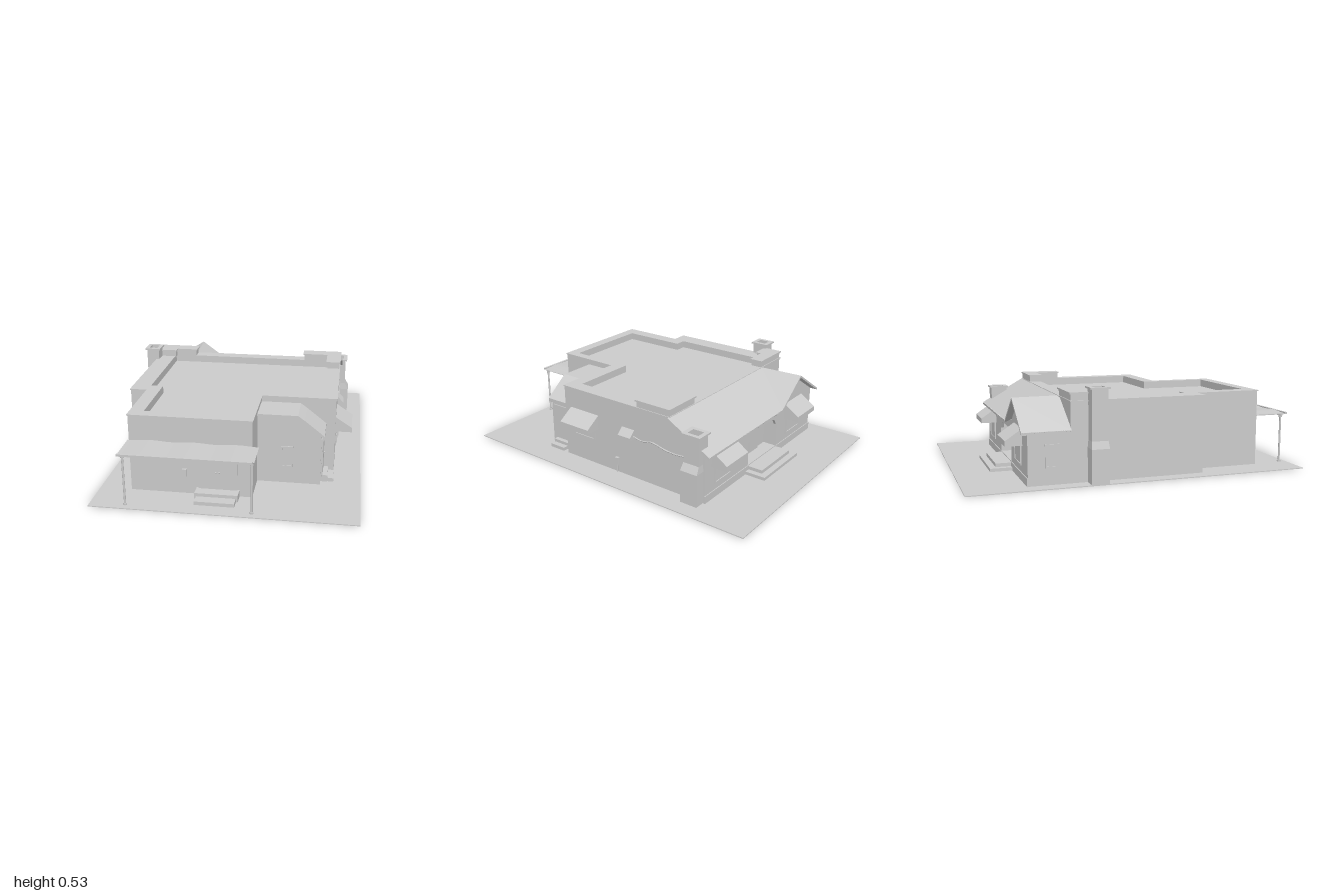
import * as THREE from 'three';
import { ConvexGeometry } from 'three/addons/geometries/ConvexGeometry.js';

const grey = new THREE.MeshStandardMaterial({ color: 0xcccccc, flatShading: true, side: THREE.DoubleSide });
const FLOOR = 0.05;

export function createModel() {
  const model = new THREE.Group();

  const add = (name, geo) => {
    const m = new THREE.Mesh(geo, grey);
    m.name = name;
    model.add(m);
    return m;
  };
  // Box given by its limits on each axis
  const box = (name, x0, x1, y0, y1, z0, z1) =>
    add(name, new THREE.BoxGeometry(x1 - x0, y1 - y0, z1 - z0).translate((x0 + x1) / 2, (y0 + y1) / 2, (z0 + z1) / 2));
  const hull = (name, pts) => add(name, new ConvexGeometry(pts.map(p => new THREE.Vector3(...p))));
  // Sloping slab: top corners plus the same corners lowered
  const slab = (name, pts, t = 0.014) => hull(name, [...pts, ...pts.map(([x, y, z]) => [x, y - t, z])]);
  const toShape = pts => new THREE.Shape(pts.map(([x, y]) => new THREE.Vector2(x, y)));
  // Floor plan of [x, z] corners raised from y0 to y1, with an optional hole
  const plan = (name, pts, y0, y1, hole) => {
    const s = toShape(pts.map(([x, z]) => [x, -z]));
    if (hole) s.holes.push(toShape(hole.map(([x, z]) => [x, -z])));
    return add(name, new THREE.ExtrudeGeometry(s, { depth: y1 - y0, bevelEnabled: false }).rotateX(-Math.PI / 2).translate(0, y0, 0));
  };
  // Elevation of [x, y] corners running from z0 to z1
  const elevation = (name, pts, z0, z1) =>
    add(name, new THREE.ExtrudeGeometry(toShape(pts), { depth: z1 - z0, bevelEnabled: false }).translate(0, 0, z0));
  const rect = (x0, x1, z0, z1) => [[x0, z0], [x1, z0], [x1, z1], [x0, z1]];
  const rod = (name, r, y0, y1, x, z) =>
    add(name, new THREE.CylinderGeometry(r, r, y1 - y0, 10).translate(x, (y0 + y1) / 2, z));

  // Ground with an opening under the building, and the wall feet around it
  const footprint = e => [[-0.65 + e, -0.655 + e], [0.572 - e, -0.655 + e], [0.572 - e, 0.377 - e], [0.5 - e, 0.377 - e],
    [0.5 - e, 0.572 - e], [0.138 - e, 0.572 - e], [0.138 - e, 0.78 - e], [-0.548 + e, 0.78 - e],
    [-0.548 + e, 0.377 - e], [-0.65 + e, 0.377 - e]];
  plan('ground', rect(-0.73, 0.73, -1, 1), 0, 0.005, footprint(0.002));
  plan('wallFeet', footprint(0), 0.001, FLOOR, footprint(0.004));
  for (const z of [-0.29, -0.09]) box('partitionFoot', 0.19, 0.57, 0.001, FLOOR, z - 0.004, z + 0.004);

  // Main hall: walls, flat roof, parapet and coping
  const outer = (e = 0) => [[-0.65 - e, -0.415 - e], [0.572 + e, -0.415 - e], [0.572 + e, 0.377 + e], [0.138 + e, 0.377 + e],
    [0.138 + e, 0.78 + e], [-0.548 - e, 0.78 + e], [-0.548 - e, 0.377 + e], [-0.65 - e, 0.377 + e]];
  const inner = [[-0.545, -0.345], [0.495, -0.345], [0.495, 0.302], [0.09, 0.302],
    [0.09, 0.717], [-0.472, 0.717], [-0.472, 0.302], [-0.545, 0.302]];
  plan('hallWalls', outer(), FLOOR, 0.415);
  plan('parapet', outer(), 0.415, 0.453, inner);
  plan('coping', outer(0.005), 0.453, 0.46, inner);

  // Raised corners of the parapet
  const cornerL = e => [[-0.645 - e, -0.415 - e], [-0.405 + e, -0.415 - e], [-0.405 + e, -0.345 + e],
    [-0.54 + e, -0.345 + e], [-0.54 + e, -0.305 + e], [-0.645 - e, -0.305 + e]];
  const cornerR = e => [[0.335 - e, -0.415 - e], [0.572 + e, -0.415 - e], [0.572 + e, -0.185 + e],
    [0.495 - e, -0.185 + e], [0.495 - e, -0.345 + e], [0.335 - e, -0.345 + e]];
  for (const c of [cornerL, cornerR]) {
    plan('raisedCorner', c(0), 0.455, 0.495);
    plan('raisedCornerCap', c(0.007), 0.495, 0.504);
  }

  // Rear wing: two solid ends with a recessed porch between them
  const wing = (name, x0, x1, zBack) => {
    const yBack = 0.445 - (-0.415 - zBack) * 0.593;
    hull(name, [x0, x1].flatMap(x => [[x, FLOOR, -0.415], [x, 0.445, -0.415], [x, yBack, zBack], [x, FLOOR, zBack]]));
  };
  wing('rearWingEnd', 0.12, 0.572, -0.655);
  wing('rearPorchBackWall', -0.21, 0.12, -0.57);
  elevation('gableWing', [[-0.65, FLOOR], [-0.21, FLOOR], [-0.21, 0.295], [-0.42, 0.444], [-0.65, 0.298]], -0.655, -0.415);
  // Porch front with a shouldered opening
  elevation('porchLintel', [[-0.21, 0.2], [-0.2, 0.2], [-0.18, 0.235], [-0.15, 0.245], [0.06, 0.245],
    [0.09, 0.235], [0.11, 0.2], [0.12, 0.2], [0.12, 0.3], [-0.21, 0.3]], -0.655, -0.64);
  box('porchFloor', -0.21, 0.12, 0.045, FLOOR, -0.655, -0.57);
  for (const [x0, x1] of [[0.12, 0.577], [-0.655, -0.21]]) box('rearPlinth', x0, x1, 0.004, 0.05, -0.66, -0.655);
  box('rearStep', -0.248, 0.153, 0.004, 0.024, -0.79, -0.655);
  box('rearStep', -0.212, 0.118, 0.024, 0.045, -0.752, -0.655);
  box('rearDoor', -0.12, -0.02, FLOOR, 0.215, -0.58, -0.57);

  // Sloping rear roof with its cross gable
  slab('rearRoof', [[-0.41, 0.46, -0.415], [0.59, 0.46, -0.415], [0.59, 0.302, -0.692], [-0.21, 0.302, -0.692]]);
  slab('gableRoofInner', [[-0.425, 0.46, -0.692], [-0.21, 0.302, -0.692], [-0.41, 0.46, -0.415]]);
  slab('gableRoofOuter', [[-0.425, 0.46, -0.692], [-0.41, 0.46, -0.415], [-0.672, 0.302, -0.415], [-0.672, 0.302, -0.692]]);
  // Tile ends along the eaves
  const tiles = (n, place, alongX) => {
    const geo = new THREE.CylinderGeometry(0.005, 0.005, 0.014, 6);
    if (alongX) geo.rotateZ(Math.PI / 2); else geo.rotateX(Math.PI / 2);
    const inst = new THREE.InstancedMesh(geo, grey, n);
    inst.name = 'eaveTiles';
    for (let i = 0; i < n; i++) inst.setMatrixAt(i, new THREE.Matrix4().makeTranslation(...place(i / (n - 1))));
    model.add(inst);
  };
  tiles(78, t => [-0.205 + t * 0.79, 0.299, -0.687], false);
  tiles(27, t => [-0.667, 0.299, -0.685 + t * 0.265], true);

  // Chimneys: broad base, tapered shoulder, shaft and hollow cap
  const chimney = (x0, x1, u0, u1, z0, z1, top) => {
    box('chimneyBase', x0, x1, 0.004, 0.2, z0, z1);
    hull('chimneyShoulder', [...rect(x0, x1, z0, z1).map(([x, z]) => [x, 0.2, z]),
      ...rect(u0, u1, z0 + 0.004, z1 - 0.004).map(([x, z]) => [x, 0.242, z])]);
    const hole = rect(u0 + 0.014, u1 - 0.014, z0 + 0.02, z1 - 0.02);
    box('chimneyShaft', u0, u1, 0.242, top - 0.05, z0 + 0.004, z1 - 0.004);
    plan('chimneyMouth', rect(u0, u1, z0 + 0.004, z1 - 0.004), top - 0.05, top - 0.01, hole);
    plan('chimneyCap', rect(u0 - 0.01, u1 + 0.01, z0 - 0.006, z1 + 0.006), top - 0.01, top, hole);
  };
  chimney(-0.73, -0.635, -0.715, -0.635, -0.32, -0.218, 0.534);
  chimney(0.525, 0.635, 0.528, 0.611, -0.645, -0.535, 0.416);

  // Window: raised frame around a pane, turned to face out of its wall
  const windowAt = (x, z, turn, w, y0, y1) => {
    const s = toShape(rect(-w / 2, w / 2, y0, y1));
    s.holes.push(toShape(rect(-w / 2 + 0.009, w / 2 - 0.009, y0 + 0.009, y1 - 0.009)));
    const parts = [['windowFrame', new THREE.ExtrudeGeometry(s, { depth: 0.008, bevelEnabled: false })],
      ['windowPane', new THREE.BoxGeometry(w - 0.018, y1 - y0 - 0.018, 0.003).translate(0, (y0 + y1) / 2, 0.0015)]];
    for (const [name, geo] of parts) add(name, geo.rotateY(turn).translate(x, 0, z));
  };
  // Awning: open-bottomed sheet with a valance and two cheeks, turned like the windows
  const awning = (x, z, turn, w, out, yTop, yMid, yLow) => {
    const geo = new THREE.BufferGeometry();
    const pts = [[yTop, 0], [yMid, out], [yLow, out], [yLow, 0]].flatMap(([y, d]) => [-w / 2, y, d, w / 2, y, d]);
    geo.setAttribute('position', new THREE.Float32BufferAttribute(pts, 3));
    geo.setIndex([0, 2, 3, 0, 3, 1, 2, 4, 5, 2, 5, 3, 0, 6, 4, 0, 4, 2, 1, 3, 5, 1, 5, 7]);
    geo.rotateY(turn).translate(x, 0, z);
    geo.computeVertexNormals();
    add('awning', geo);
  };
  for (const x of [-0.412, 0.398]) {
    windowAt(x, -0.655, Math.PI, 0.17, 0.09, 0.25);
    awning(x, -0.655, Math.PI, 0.22, 0.097, 0.3, 0.235, 0.205);
  }
  const right = Math.PI / 2;
  windowAt(0.572, 0.221, right, 0.17, 0.16, 0.28);
  awning(0.572, 0.221, right, 0.222, 0.096, 0.328, 0.265, 0.238);
  awning(0.572, -0.118, right, 0.091, 0.038, 0.31, 0.27, 0.25);
  windowAt(-0.65, -0.52, -right, 0.08, 0.1, 0.23);
  windowAt(0.065, -0.57, Math.PI, 0.08, 0.1, 0.21);
  windowAt(0.309, 0.572, 0, 0.068, 0.105, 0.233);

  // Cable, meter and conduits
  const cable = new THREE.CatmullRomCurve3([[-0.16, 0.272], [-0.22, 0.26], [-0.3, 0.272], [-0.38, 0.255], [-0.45, 0.248], [-0.54, 0.254]]
    .map(([z, y]) => new THREE.Vector3(0.577, y, z)));
  add('cable', new THREE.TubeGeometry(cable, 40, 0.004, 6));
  box('meterBox', 0.572, 0.588, 0.06, 0.102, -0.047, -0.024);
  rod('meterPipe', 0.004, 0.004, 0.06, 0.578, -0.035);
  box('frontConduit', -0.65, -0.548, 0.249, 0.254, 0.377, 0.385);

  // Side entry with a chamfered roof
  elevation('sideEntry', [[0.138, FLOOR], [0.5, FLOOR], [0.5, 0.305], [0.365, 0.41], [0.138, 0.41]], 0.377, 0.572);
  elevation('sideEntryRoof', [[0.138, 0.41], [0.363, 0.41], [0.505, 0.3], [0.505, 0.285], [0.518, 0.285], [0.518, 0.306],
    [0.405, 0.395], [0.367, 0.422], [0.138, 0.422]], 0.377, 0.58);
  box('sideDoorFrame', 0.5, 0.506, 0.04, 0.28, 0.4, 0.56);
  box('sideDoor', 0.506, 0.512, 0.04, 0.27, 0.41, 0.55);
  add('sideDoorKnob', new THREE.SphereGeometry(0.005, 8, 6).translate(0.515, 0.147, 0.43));
  box('sideStep', 0.5, 0.54, 0.004, 0.045, 0.41, 0.53);
  box('sideStep', 0.54, 0.575, 0.004, 0.026, 0.415, 0.525);

  // Front double door, steps and wall box
  box('frontDoor', -0.16, 0.057, 0.045, 0.237, 0.78, 0.79);
  for (const x of [-0.062, -0.043]) add('frontDoorKnob', new THREE.SphereGeometry(0.005, 8, 6).translate(x, 0.148, 0.792));
  box('frontStep', -0.173, 0.068, 0.004, 0.045, 0.78, 0.85);
  box('frontStep', -0.163, 0.058, 0.004, 0.026, 0.85, 0.91);
  box('wallBox', -0.252, -0.226, 0.11, 0.155, 0.78, 0.795);

  // Front canopy: corrugated sheet, beams and posts
  const sheet = new THREE.PlaneGeometry(0.73, 0.195, 60, 1).rotateX(-Math.PI / 2).translate(-0.19, 0, 0.878);
  const p = sheet.attributes.position;
  for (let i = 0; i < p.count; i++) p.setY(i, 0.312 + 0.003 * Math.sin(p.getX(i) * 26));
  sheet.computeVertexNormals();
  add('canopySheet', sheet);
  box('canopyFrame', -0.545, 0.168, 0.302, 0.309, 0.78, 0.975);
  box('canopyBeam', -0.545, 0.168, 0.294, 0.304, 0.95, 0.964);
  box('canopyGutter', -0.555, 0.168, 0.304, 0.316, 0.975, 0.99);
  for (const x of [-0.532, 0.16]) {
    rod('canopyPost', 0.006, 0.005, 0.298, x, 0.957);
    rod('postFoot', 0.011, 0.005, 0.015, x, 0.957);
    rod('postHead', 0.01, 0.285, 0.296, x, 0.957);
  }
  return model;
}
